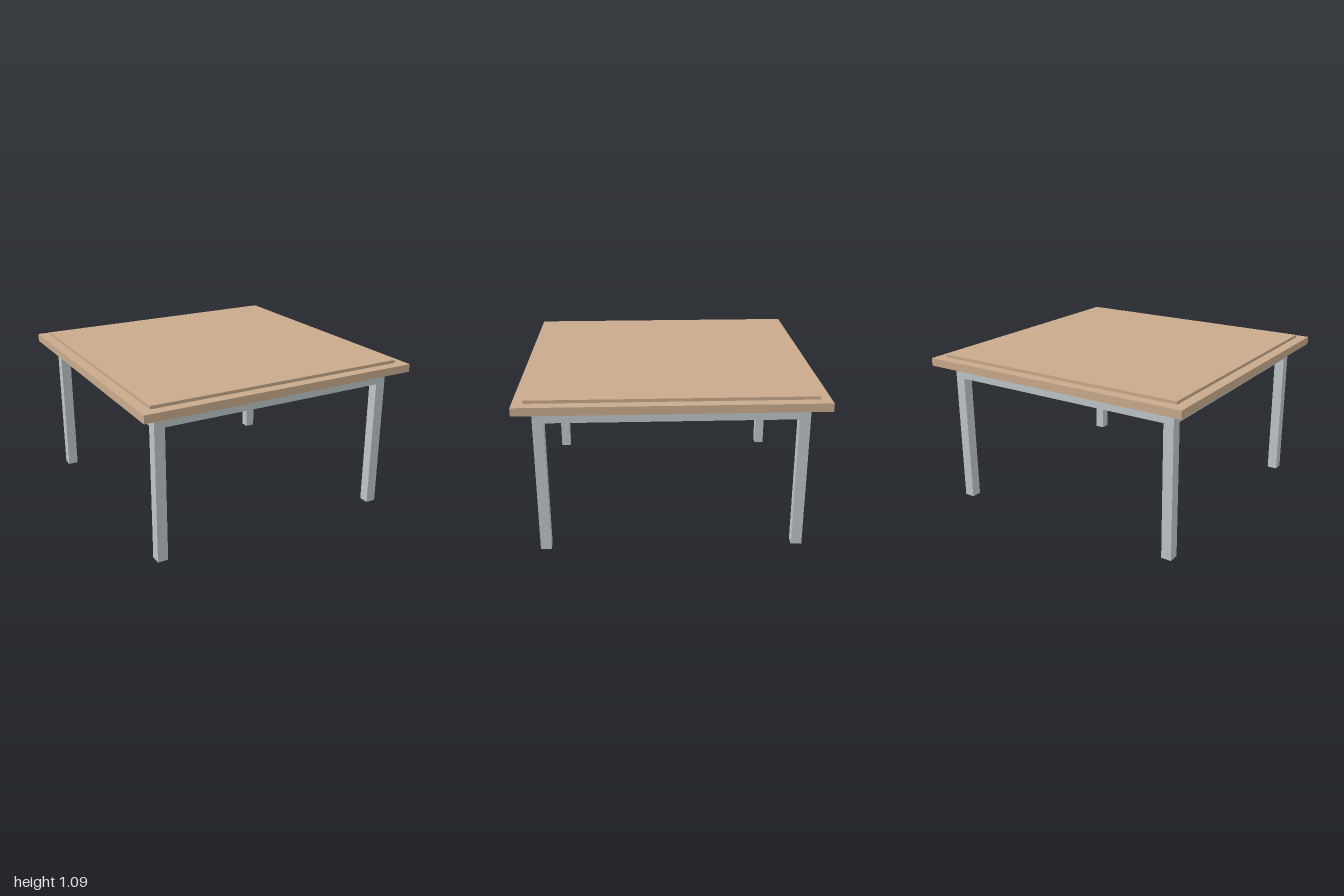
import * as THREE from 'three';

const wood = new THREE.MeshStandardMaterial({ name: 'wood', color: 0xc9ab8d });
const metal = new THREE.MeshStandardMaterial({ name: 'greyMetal', color: 0xbec6c8 });

// Box from its bottom to its top height
function box(name, material, width, depth, bottom, top, x = 0, z = 0) {
  const mesh = new THREE.Mesh(new THREE.BoxGeometry(width, top - bottom, depth), material);
  mesh.name = name;
  mesh.position.set(x, (bottom + top) / 2, z);
  return mesh;
}

export function createModel() {
  const table = new THREE.Group();
  table.name = 'table';

  const outer = 0.887; // outer face of the frame
  const legSize = 0.072;
  const railThickness = 0.022;
  const railBottom = 0.92;
  const frameTop = 1.015;
  const slabTop = 1.07;

  // Table top with a raised inset panel
  table.add(box('tableTop', wood, 2, 2, frameTop, slabTop));
  table.add(box('raisedPanel', wood, 1.856, 1.856, slabTop, 1.091));

  // Four square legs
  const legAt = outer - legSize / 2;
  for (const [sx, xName] of [[1, 'Left'], [-1, 'Right']]) {
    for (const [sz, zName] of [[1, 'front'], [-1, 'back']]) {
      table.add(box(`${zName}${xName}Leg`, metal, legSize, legSize, 0, frameTop, sx * legAt, sz * legAt));
    }
  }

  // Thin apron rails between the legs, flush with their outer faces
  const railLength = 2 * (outer - legSize);
  const railAt = outer - railThickness / 2;
  for (const [s, zName, xName] of [[1, 'front', 'left'], [-1, 'back', 'right']]) {
    table.add(box(`${zName}Rail`, metal, railLength, railThickness, railBottom, frameTop, 0, s * railAt));
    table.add(box(`${xName}Rail`, metal, railThickness, railLength, railBottom, frameTop, s * railAt, 0));
  }
  return table;
}
